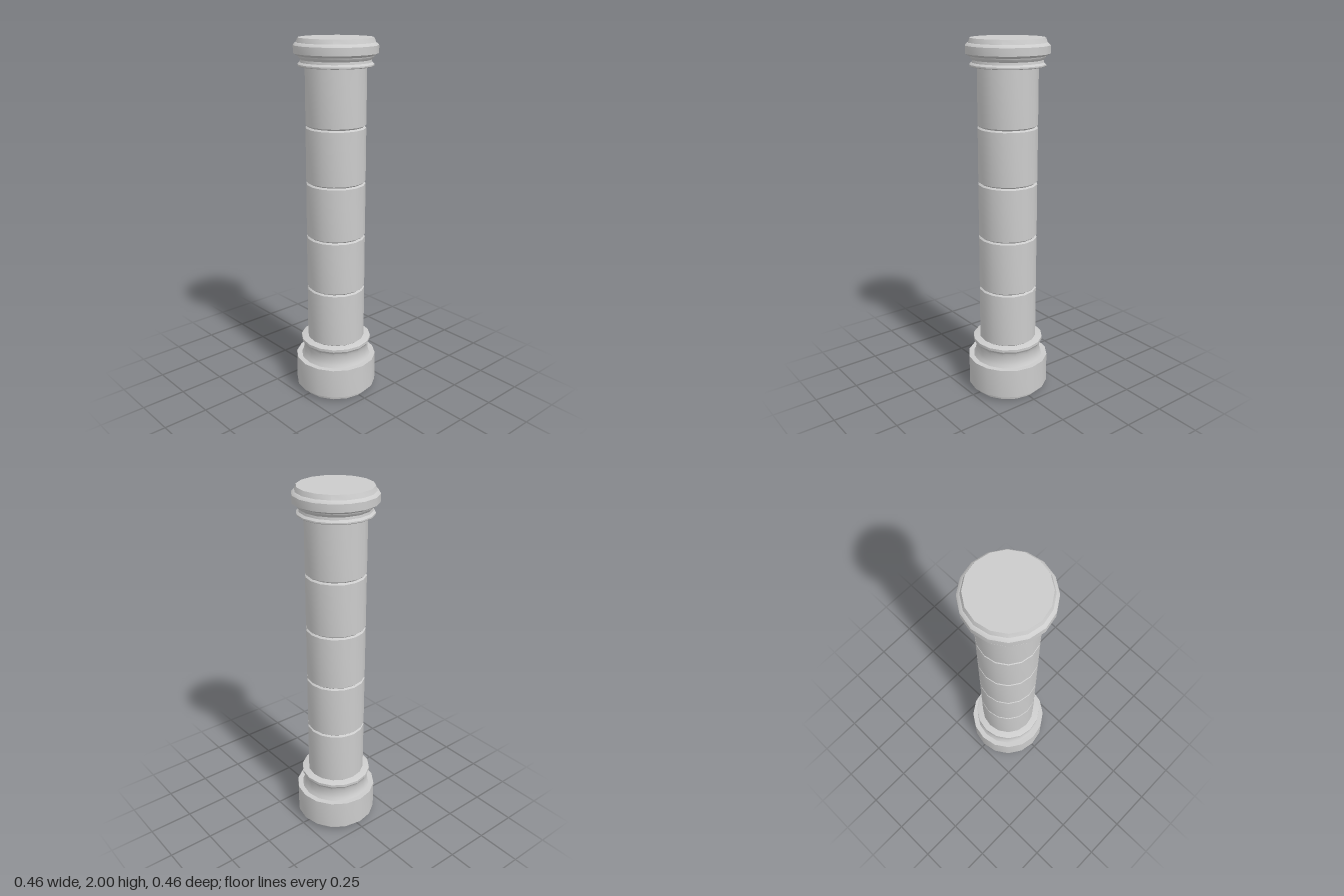
import * as THREE from 'three';
import { toCreasedNormals } from 'three/addons/utils/BufferGeometryUtils.js';

const SIDES = 16;
const material = new THREE.MeshStandardMaterial({ color: 0xcccccc });

// Turned solid from [radius, height] pairs, listed bottom to top
function turned(name, profile) {
  const points = profile.map(([r, y]) => new THREE.Vector2(r, y));
  const mesh = new THREE.Mesh(toCreasedNormals(new THREE.LatheGeometry(points, SIDES), 0.5), material);
  mesh.name = name;
  return mesh;
}

export function createModel() {
  const column = new THREE.Group();
  column.name = 'column';

  // Round plinth with a chamfered foot
  column.add(turned('plinth', [
    [0, 0], [0.2, 0], [0.205, 0.025], [0.23, 0.03], [0.23, 0.2], [0, 0.2],
  ]));

  // Concave collar flaring up to a thin rim
  column.add(turned('baseCollar', [
    [0, 0.2], [0.2, 0.2], [0.191, 0.215], [0.186, 0.24], [0.186, 0.265],
    [0.19, 0.285], [0.2, 0.3], [0.2, 0.315], [0.194, 0.318], [0, 0.318],
  ]));

  // Shaft of stacked drums, chamfered at the joints
  const shaft = new THREE.Group();
  shaft.name = 'shaft';
  const pitch = 0.305;
  for (let i = 0; i < 5; i++) {
    const y0 = 0.325 + i * pitch - (i === 0 ? 0.01 : 0);
    const y1 = 0.325 + (i + 1) * pitch + (i === 4 ? 0.01 : 0);
    shaft.add(turned('drum' + (i + 1), [
      [0, y0], [0.152, y0], [0.162, y0 + 0.008], [0.162, y1 - 0.008], [0.152, y1], [0, y1],
    ]));
  }
  column.add(shaft);

  // Necking ring with a waisted profile under the capital
  column.add(turned('capitalNeck', [
    [0, 1.856], [0.195, 1.856], [0.2, 1.86], [0.2, 1.867], [0.188, 1.877],
    [0.186, 1.89], [0.198, 1.905], [0.2, 1.915], [0, 1.915],
  ]));

  // Capital slab, stepped in towards the flat top
  column.add(turned('capital', [
    [0, 1.91], [0.2, 1.91], [0.222, 1.922], [0.222, 1.962],
    [0.212, 1.973], [0.206, 1.976], [0.197, 2], [0, 2],
  ]));

  return column;
}
